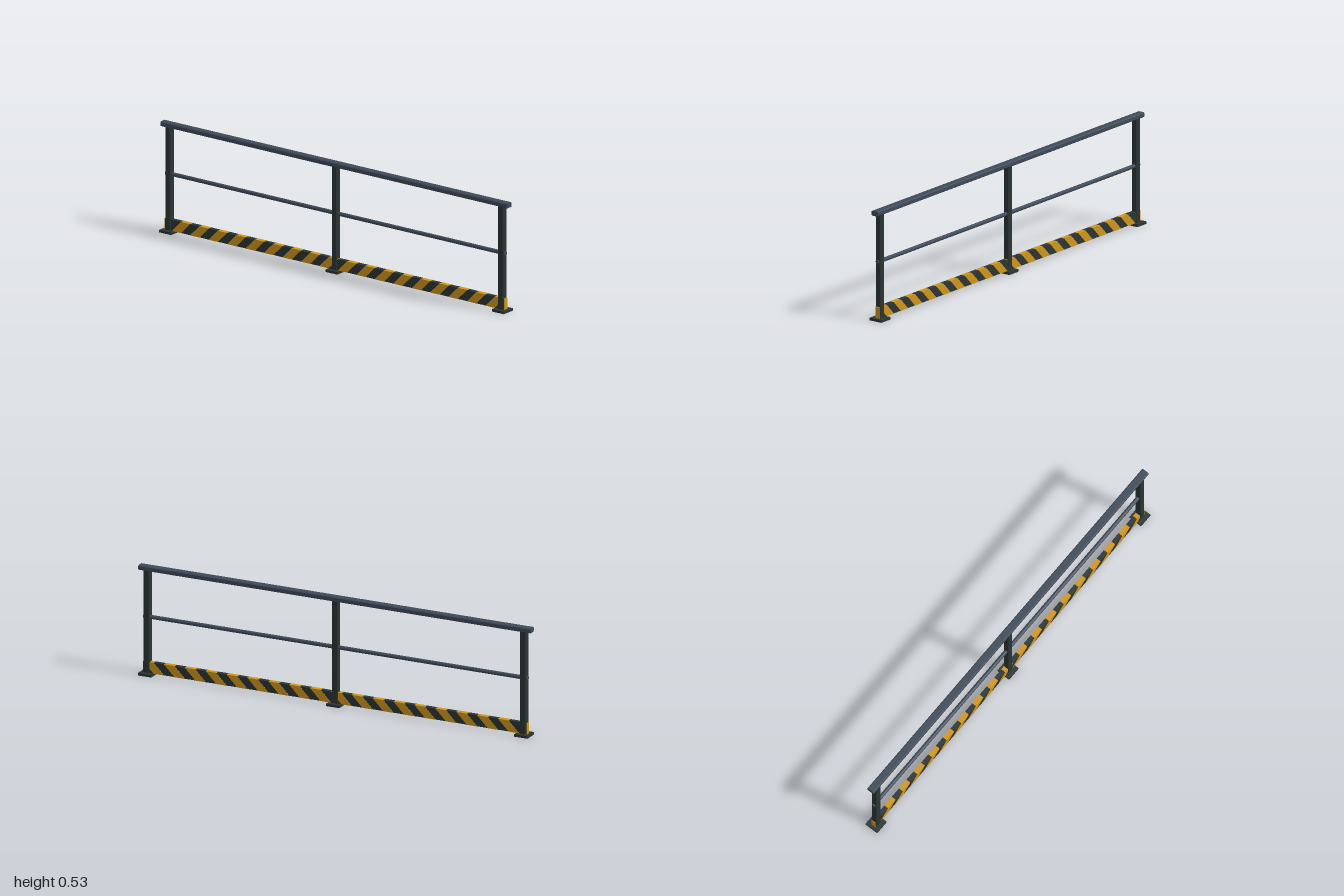
import * as THREE from 'three';

const mat = (name, color) => {
  const m = new THREE.MeshStandardMaterial({ color });
  m.name = name;
  return m;
};

// Rectangle with cut corners, centred on the origin
function chamferedRect(w, h, c) {
  const x = w / 2, y = h / 2;
  return new THREE.Shape([
    [-x + c, -y], [x - c, -y], [x, -y + c], [x, y - c],
    [x - c, y], [-x + c, y], [-x, y - c], [-x, -y + c],
  ].map(([a, b]) => new THREE.Vector2(a, b)));
}

// Extrusion centred along z
function prism(shape, depth) {
  return new THREE.ExtrudeGeometry(shape, { depth, bevelEnabled: false }).translate(0, 0, -depth / 2);
}

export function createModel() {
  const group = new THREE.Group();
  group.name = 'guardRail';
  const railPaint = mat('blue grey paint', 0x3f4a59);
  const postPaint = mat('dark green grey paint', 0x2b3534);
  const yellow = mat('safety yellow', 0xd0961c);

  const add = (name, geometry, material, x, y, z = 0) => {
    const mesh = new THREE.Mesh(geometry, material);
    mesh.name = name;
    mesh.position.set(x, y, z);
    group.add(mesh);
    return mesh;
  };

  // Handrail with chamfered edges, and round middle rail
  add('handrail', prism(chamferedRect(0.036, 0.023, 0.004), 2).rotateY(Math.PI / 2), railPaint, 0, 0.5165);
  add('middleRail', new THREE.CylinderGeometry(0.0095, 0.0095, 1.96, 16).rotateZ(Math.PI / 2), railPaint, 0, 0.281);

  // Posts on base plates
  const postGeometry = prism(chamferedRect(0.03, 0.03, 0.003), 0.497).rotateX(Math.PI / 2);
  const plateGeometry = new THREE.BoxGeometry(0.068, 0.012, 0.068);
  for (const x of [-0.96, 0, 0.96]) {
    add('post', postGeometry, postPaint, x, 0.2585);
    add('basePlate', plateGeometry, postPaint, x, 0.006);
  }

  // Toe board with yellow ends
  const bottom = 0.012, height = 0.053;
  add('toeBoard', new THREE.BoxGeometry(1.956, height, 0.022), postPaint, 0, bottom + height / 2);
  for (const side of [-1, 1])
    add('toeBoardEnd', new THREE.BoxGeometry(0.003, height, 0.022), yellow, side * 0.9785, bottom + height / 2);

  // Slanted hazard stripes wrapping the board
  const width = 0.054, slant = 0.054, top = height + 0.0006;
  const stripe = new THREE.Shape([
    new THREE.Vector2(0, -0.0006), new THREE.Vector2(width, -0.0006),
    new THREE.Vector2(width + slant, top), new THREE.Vector2(slant, top),
  ]);
  const stripeGeometry = prism(stripe, 0.0235);
  for (let i = 0; i < 18; i++)
    add('hazardStripe', stripeGeometry, yellow, -0.94 + i * 0.1065, bottom);

  return group;
}
